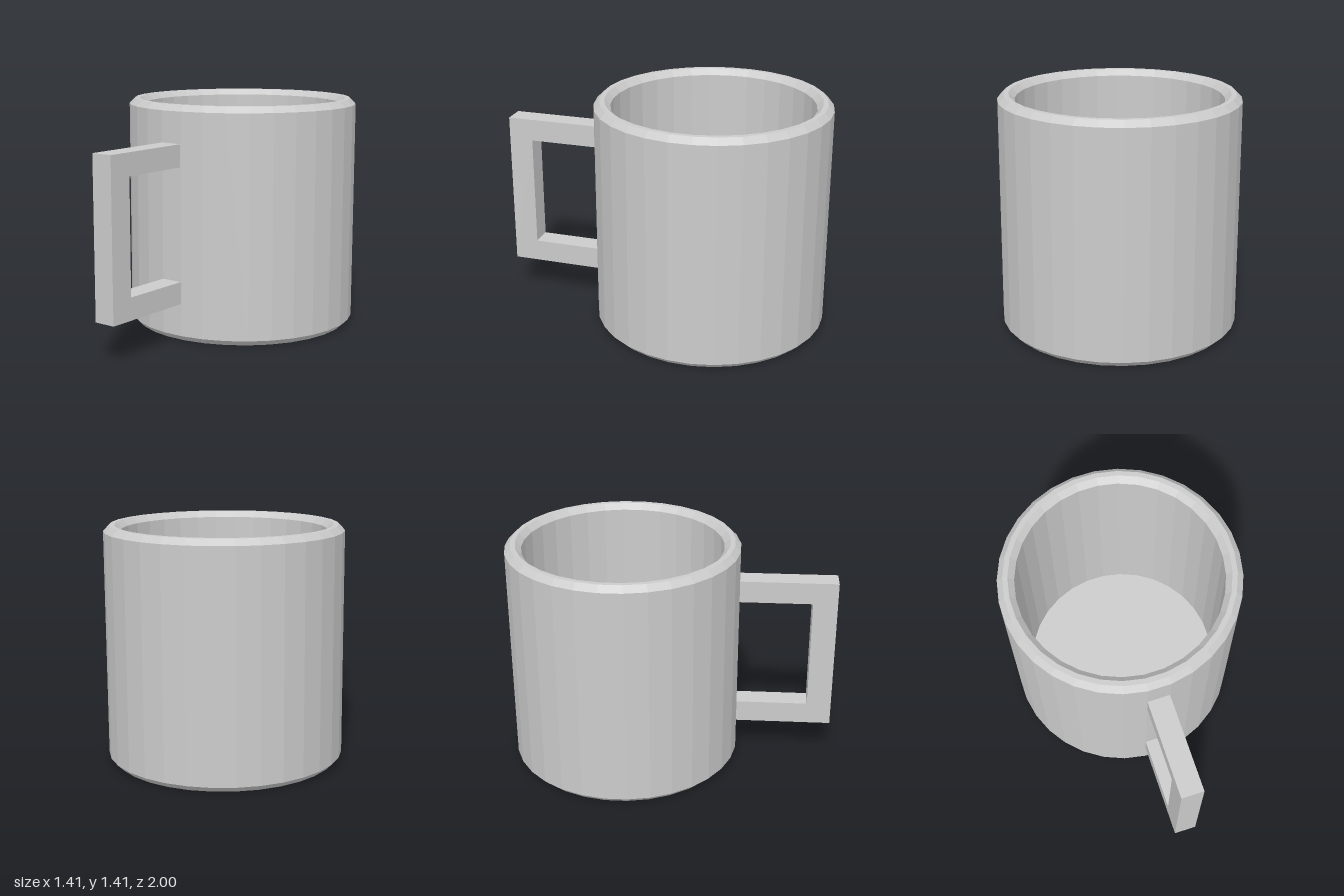
import * as THREE from 'three';

const material = new THREE.MeshStandardMaterial({ color: 0xcccccc, flatShading: true });

// Hollow 32-sided cup, bevelled at the base and on both edges of the rim
function createCup() {
  const R = 0.707, H = 1.414, bevel = 0.035, wall = 0.1, floor = 0.1;
  const profile = [
    [0, 0], [R - bevel, 0], [R, bevel],
    [R, H - bevel], [R - bevel, H],
    [R - wall + bevel, H], [R - wall, H - bevel],
    [R - wall, floor], [0, floor],
  ].map(([r, y]) => new THREE.Vector2(r, y));
  const cup = new THREE.Mesh(new THREE.LatheGeometry(profile, 32), material);
  cup.name = 'cup';
  cup.position.z = -0.293;
  return cup;
}

// Square C-shaped handle: outline drawn in reach/height, extruded sideways
function createHandle() {
  const width = 0.135, root = -0.05, reach = 0.589, grip = 0.44;
  const bottom = 0.233, top = 1.19, bar = 0.135;
  const outline = new THREE.Shape([
    [root, bottom], [reach, bottom], [reach, top], [root, top],
    [root, top - bar], [grip, top - bar], [grip, bottom + bar], [root, bottom + bar],
  ].map(([z, y]) => new THREE.Vector2(z, y)));
  const geometry = new THREE.ExtrudeGeometry(outline, { depth: width, bevelEnabled: false });
  geometry.rotateY(-Math.PI / 2).translate(width, 0, 0);
  const handle = new THREE.Mesh(geometry, material);
  handle.name = 'handle';
  handle.position.z = 0.414;
  handle.rotation.y = THREE.MathUtils.degToRad(5.4);
  return handle;
}

export function createModel() {
  const mug = new THREE.Group();
  mug.name = 'mug';
  mug.add(createCup(), createHandle());
  return mug;
}
